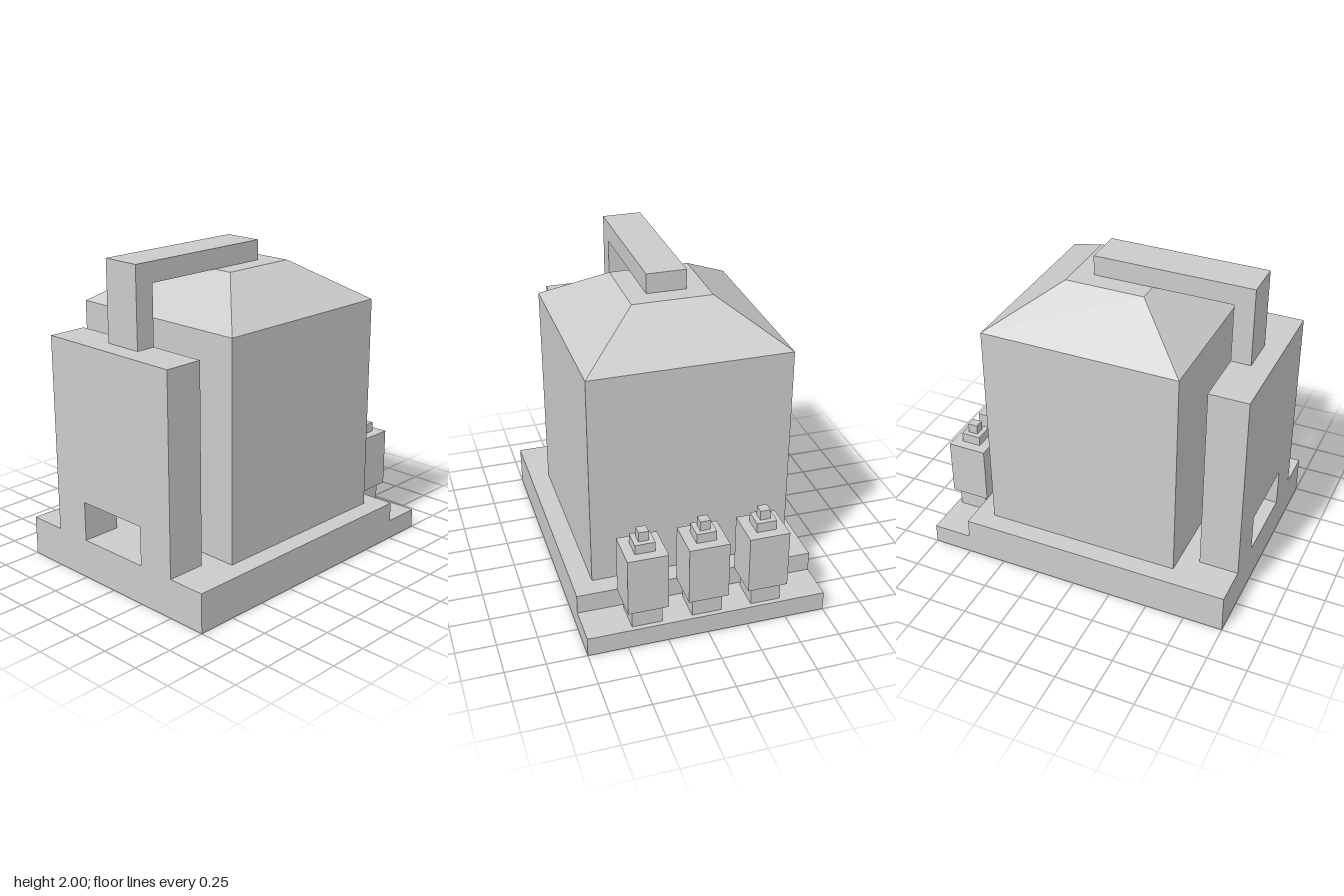
import * as THREE from 'three';

const material = new THREE.MeshStandardMaterial({ color: 0xcccccc, flatShading: true });

function addMesh(parent, name, geometry, x = 0, y = 0, z = 0) {
  const mesh = new THREE.Mesh(geometry, material);
  mesh.name = name;
  mesh.position.set(x, y, z);
  parent.add(mesh);
  return mesh;
}

// Box standing on height y
function addBlock(parent, name, w, h, d, x, y, z) {
  return addMesh(parent, name, new THREE.BoxGeometry(w, h, d), x, y + h / 2, z);
}

function extrude(points, depth) {
  const shape = new THREE.Shape(points.map(([a, b]) => new THREE.Vector2(a, b)));
  return new THREE.ExtrudeGeometry(shape, { depth, bevelEnabled: false });
}

// Side profile given as [z, y], extruded across x and centred
function sideProfile(points, width) {
  const geometry = extrude(points.map(([z, y]) => [-z, y]), width);
  return geometry.rotateY(Math.PI / 2).translate(-width / 2, 0, 0);
}

export function createModel() {
  const model = new THREE.Group();
  model.name = 'boilerMachine';

  // Base plate with a lower shelf at the back
  addMesh(model, 'base', sideProfile(
    [[1, 0], [1, 0.25], [-0.75, 0.25], [-0.75, 0.125], [-1, 0.125], [-1, 0]], 1.5));

  // Square tank with a tapered, flat-topped roof
  addBlock(model, 'tank', 1.25, 1.375, 1.25, 0, 0.25, 0);
  const roof = new THREE.CylinderGeometry(0.25 * Math.SQRT2, 0.625 * Math.SQRT2, 0.25, 4);
  addMesh(model, 'roof', roof.rotateY(Math.PI / 4), 0, 1.75, 0);

  // Front panel with an opening at its foot
  addMesh(model, 'frontPanel', extrude(
    [[-0.5, 0.25], [-0.25, 0.25], [-0.25, 0.5], [0.25, 0.5], [0.25, 0.25],
      [0.5, 0.25], [0.5, 1.5], [-0.5, 1.5]], 0.25), 0, 0, 0.75);

  // Bent duct from the panel over to the roof
  addMesh(model, 'duct', sideProfile(
    [[0.875, 1.5], [0.875, 2], [-0.125, 2], [-0.125, 1.875], [0.75, 1.875], [0.75, 1.5]], 0.25));

  // Row of three bottles on the back shelf
  for (const x of [-0.375, 0, 0.375]) {
    const bottle = new THREE.Group();
    bottle.name = 'bottle';
    bottle.position.set(x, 0, -0.875);
    addBlock(bottle, 'bottleStand', 0.1875, 0.125, 0.1875, 0, 0.125, 0);
    addBlock(bottle, 'bottleBody', 0.25, 0.375, 0.25, 0, 0.25, 0);
    addBlock(bottle, 'bottleNeck', 0.125, 0.0625, 0.125, 0, 0.625, 0);
    addBlock(bottle, 'bottleTip', 0.0625, 0.0625, 0.0625, 0, 0.6875, 0);
    model.add(bottle);
  }
  return model;
}
